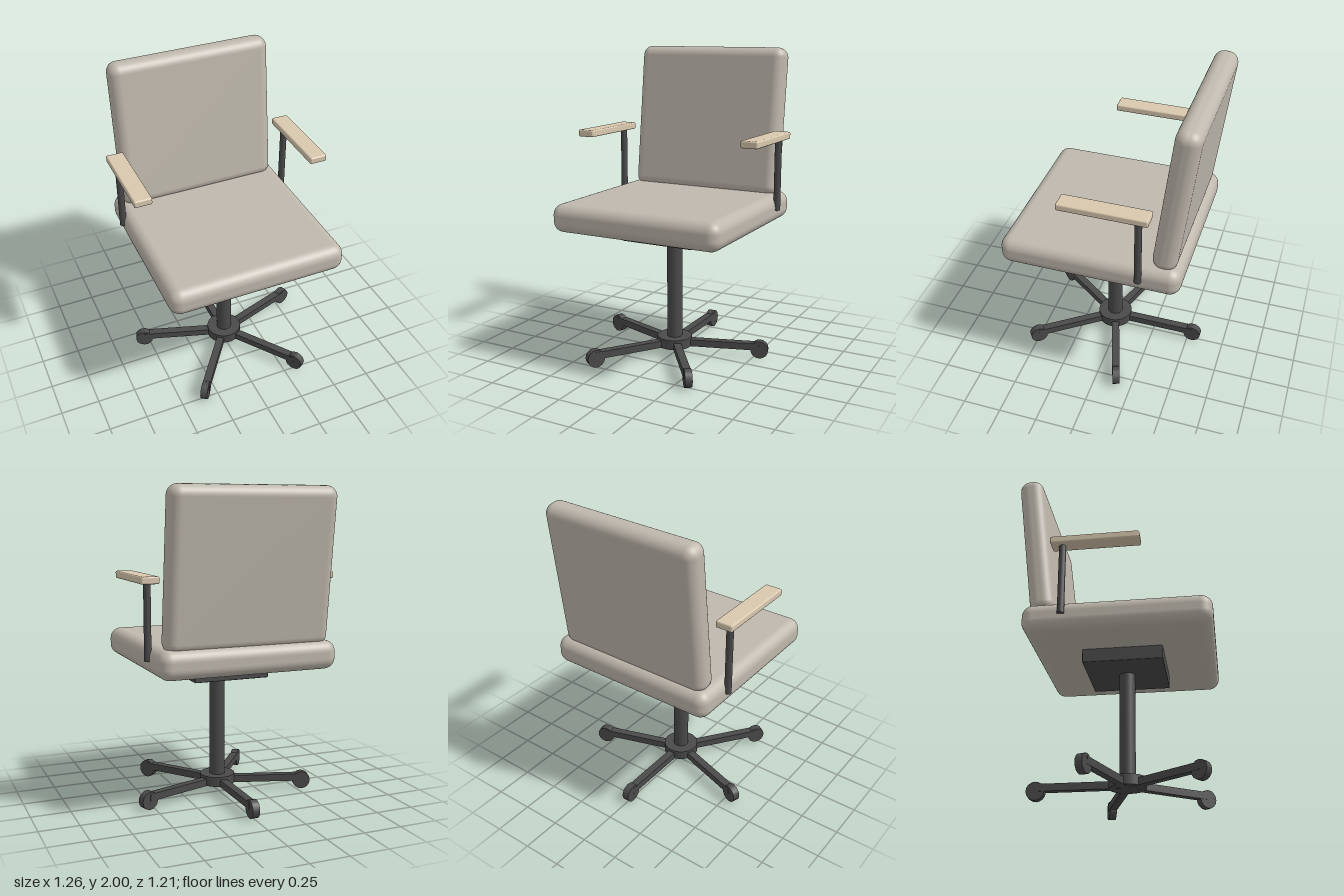
import * as THREE from 'three';
import { RoundedBoxGeometry } from 'three/addons/geometries/RoundedBoxGeometry.js';

const fabric = new THREE.MeshStandardMaterial({ color: 0xbfb8ad });
const wood = new THREE.MeshStandardMaterial({ color: 0xd9c8ae });
const metal = new THREE.MeshStandardMaterial({ color: 0x4a4a4a });

function add(parent, name, geometry, material, x, y, z) {
  const mesh = new THREE.Mesh(geometry, material);
  mesh.name = name;
  mesh.position.set(x, y, z);
  parent.add(mesh);
  return mesh;
}

const cushion = (w, h, d, r) => new RoundedBoxGeometry(w, h, d, 5, r);
const rod = (r, h, sides = 24) => new THREE.CylinderGeometry(r, r, h, sides);

export function createModel() {
  const chair = new THREE.Group();
  chair.name = 'officeChair';
  const axisZ = 0.033; // centre line of seat and base

  // Upholstered seat and reclined back
  add(chair, 'seat', cushion(1.15, 0.18, 1.145, 0.07), fabric, 0, 0.97, axisZ);
  const back = add(chair, 'backrest', cushion(1.06, 0.975, 0.152, 0.065), fabric, 0, 1.515, -0.478);
  back.rotation.x = -0.118;

  // Armrests on single posts at the seat sides
  for (const side of [-1, 1]) {
    const arm = new THREE.Group();
    arm.name = side > 0 ? 'leftArm' : 'rightArm';
    add(arm, 'armPost', rod(0.022, 0.47, 16), metal, side * 0.577, 1.205, -0.29);
    add(arm, 'armPad', new RoundedBoxGeometry(0.112, 0.045, 0.548, 2, 0.01), wood, side * 0.576, 1.453, -0.086);
    chair.add(arm);
  }

  // Mounting plate, column and hub
  add(chair, 'seatPlate', new RoundedBoxGeometry(0.5, 0.095, 0.5, 2, 0.006), metal, 0, 0.8425, axisZ);
  add(chair, 'column', rod(0.05, 0.7), metal, 0, 0.445, axisZ);
  add(chair, 'hub', rod(0.115, 0.064), metal, 0, 0.088, axisZ);

  // Five spokes, the first pointing straight back, each ending in a caster
  const reach = 0.566;
  for (let i = 0; i < 5; i++) {
    const leg = new THREE.Group();
    leg.name = 'baseLeg' + (i + 1);
    leg.position.z = axisZ;
    leg.rotation.y = (i * Math.PI * 2) / 5;
    add(leg, 'spoke', new THREE.BoxGeometry(0.05, 0.046, reach), metal, 0, 0.078, -reach / 2);
    const wheel = add(leg, 'caster', rod(0.058, 0.046, 16), metal, 0, 0.058, -reach);
    wheel.rotation.z = Math.PI / 2;
    chair.add(leg);
  }
  return chair;
}
